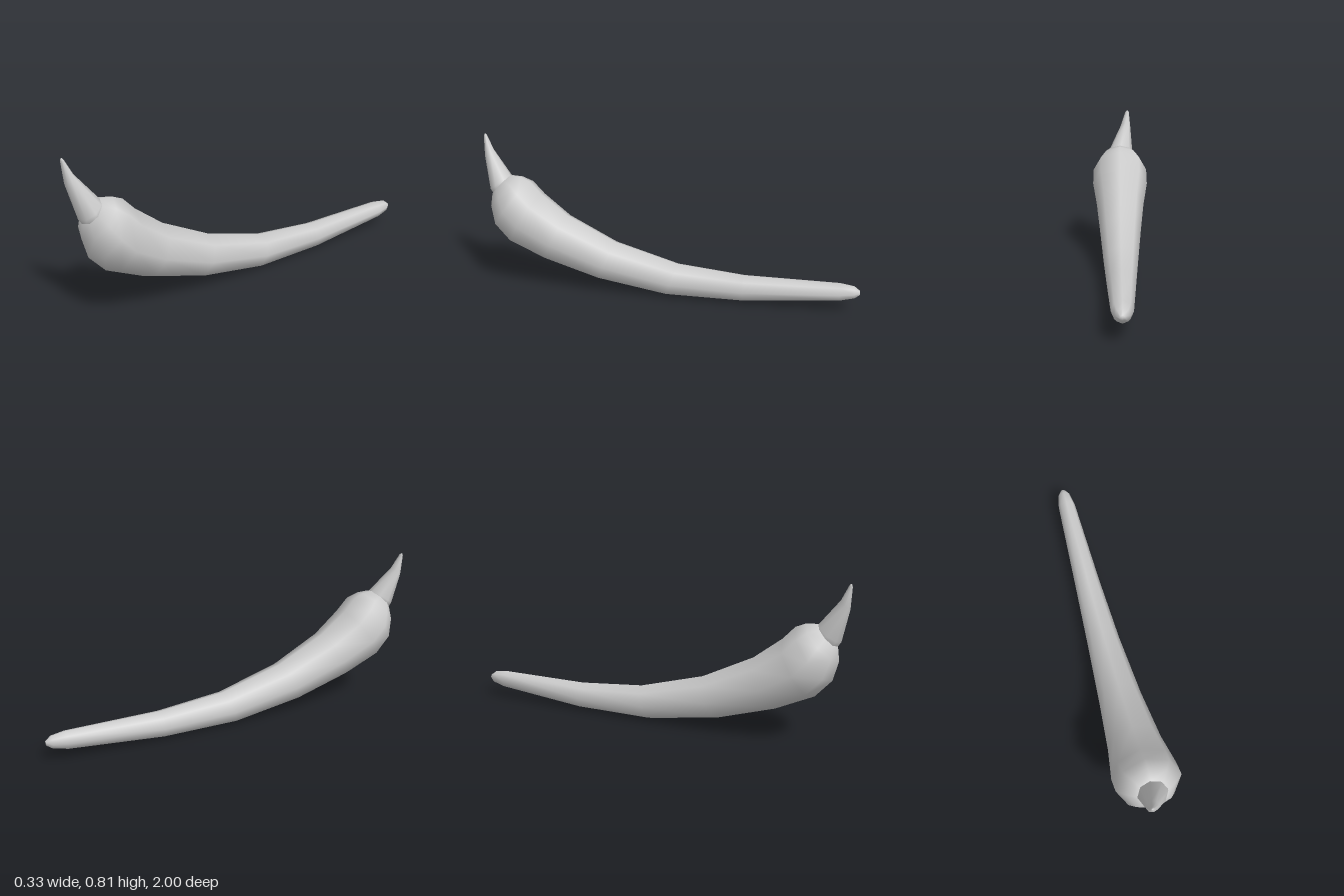
import * as THREE from 'three';

const SIDES = 8;

// Smooth skin over octagonal rings, each given as
// [upper z, upper y, lower z, lower y, centre x, half width]
function loft(rings, name) {
  const pos = [], index = [];
  for (const [z1, y1, z2, y2, x, w] of rings) {
    for (let j = 0; j < SIDES; j++) {
      const a = (j / SIDES) * Math.PI * 2, c = Math.cos(a);
      pos.push(x + w * Math.sin(a), (y1 + y2) / 2 + c * (y1 - y2) / 2, (z1 + z2) / 2 + c * (z1 - z2) / 2);
    }
  }
  for (let i = 0; i < rings.length - 1; i++) {
    for (let j = 0; j < SIDES; j++) {
      const k = (j + 1) % SIDES;
      const a = i * SIDES + j, b = i * SIDES + k, c = a + SIDES, d = b + SIDES;
      index.push(a, c, b, b, c, d);
    }
  }
  // close both ends with a fan around the ring centre
  for (const i of [0, rings.length - 1]) {
    const [z1, y1, z2, y2, x] = rings[i];
    const hub = pos.length / 3;
    pos.push(x, (y1 + y2) / 2, (z1 + z2) / 2);
    for (let j = 0; j < SIDES; j++) {
      const a = i * SIDES + j, b = i * SIDES + (j + 1) % SIDES;
      index.push(...(i === 0 ? [hub, a, b] : [hub, b, a]));
    }
  }
  const geo = new THREE.BufferGeometry();
  geo.setAttribute('position', new THREE.Float32BufferAttribute(pos, 3));
  geo.setIndex(index);
  geo.computeVertexNormals();
  const mesh = new THREE.Mesh(geo, new THREE.MeshStandardMaterial({ color: 0xcccccc }));
  mesh.name = name;
  return mesh;
}

export function createModel() {
  const group = new THREE.Group();
  group.name = 'pepper';

  // Curved body from the thin tail tip to the rounded shoulder
  group.add(loft([
    [-1.0, 0.118, -1.0, 0.095, 0, 0.012],
    [-0.97, 0.14, -0.975, 0.075, 0, 0.033],
    [-0.9, 0.15, -0.9, 0.055, 0, 0.048],
    [-0.41, 0.145, -0.41, 0.003, 0, 0.07],
    [-0.06, 0.175, 0, 0, 0, 0.09],
    [0.28, 0.27, 0.37, 0.06, 0, 0.114],
    [0.54, 0.4, 0.66, 0.15, 0, 0.139],
    [0.68, 0.51, 0.85, 0.24, 0, 0.165],
    [0.74, 0.575, 0.93, 0.33, 0, 0.163],
    [0.79, 0.597, 0.955, 0.43, 0, 0.12],
    [0.85, 0.6, 0.945, 0.5, 0, 0.08],
  ], 'body'));

  // Tapering stem, leaning slightly to one side, its foot sunk in the body
  group.add(loft([
    [0.825, 0.575, 0.925, 0.47, 0, 0.07],
    [0.85, 0.6, 0.96, 0.525, -0.005, 0.073],
    [0.95, 0.73, 0.995, 0.69, -0.035, 0.031],
    [0.984, 0.802, 1.0, 0.796, -0.046, 0.011],
    [0.99, 0.81, 0.997, 0.808, -0.047, 0.004],
  ], 'stem'));

  return group;
}
